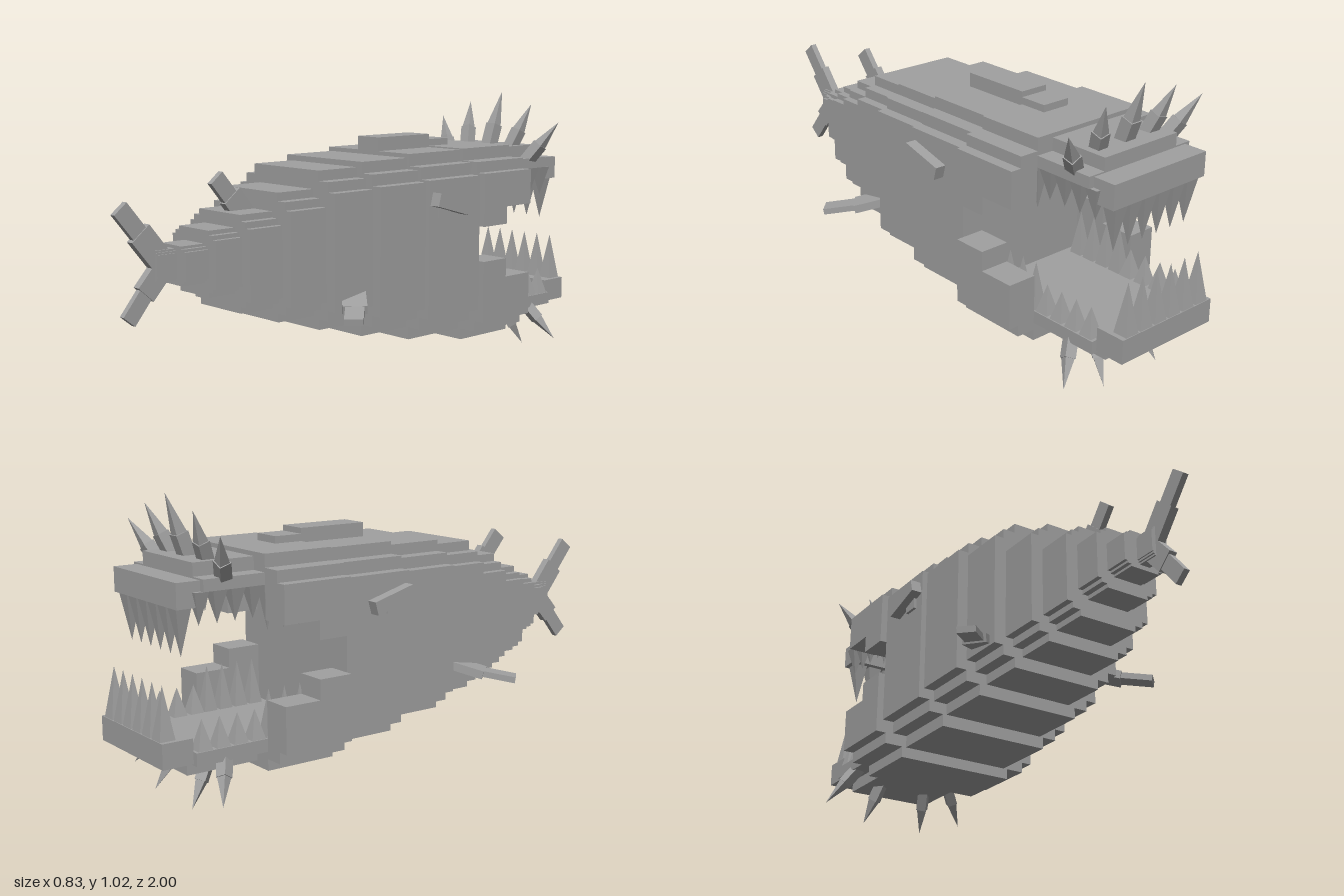
import * as THREE from 'three';

const grey = new THREE.MeshStandardMaterial({ color: 0xa0a0a0 });
grey.name = 'stone grey';

export function createModel() {
  const fish = new THREE.Group();
  fish.name = 'spikyFish';
  const UP = new THREE.Vector3(0, 1, 0);

  const add = (name, geo, parent = fish) => {
    const m = new THREE.Mesh(geo, grey);
    m.name = name;
    parent.add(m);
    return m;
  };
  // box given by its limits on each axis
  const box = (name, x0, x1, y0, y1, z0, z1) => {
    const m = add(name, new THREE.BoxGeometry(x1 - x0, y1 - y0, z1 - z0));
    m.position.set((x0 + x1) / 2, (y0 + y1) / 2, (z0 + z1) / 2);
    return m;
  };
  const pair = (name, x0, x1, ...rest) => {
    box(name, x0, x1, ...rest);
    box(name, -x1, -x0, ...rest);
  };
  // square pyramid: positive height points up, negative hangs down
  const tooth = (name, x, y, z, s, h) => {
    const g = new THREE.ConeGeometry(s * 0.707, Math.abs(h), 4).toNonIndexed();
    g.rotateY(Math.PI / 4);
    g.computeVertexNormals();
    const m = add(name, g);
    if (h < 0) m.rotation.x = Math.PI;
    m.position.set(x, y + h / 2, z);
  };
  // box running between two points: w across, t thick along the given side axis
  const beam = (name, a, b, w, t, side) => {
    const A = new THREE.Vector3(...a), B = new THREE.Vector3(...b);
    const y = B.clone().sub(A), len = y.length();
    y.normalize();
    const z = new THREE.Vector3(...side);
    z.addScaledVector(y, -z.dot(y)).normalize();
    const x = new THREE.Vector3().crossVectors(y, z);
    const m = add(name, new THREE.BoxGeometry(w, len, t));
    m.quaternion.setFromRotationMatrix(new THREE.Matrix4().makeBasis(x, y, z));
    m.position.copy(A).add(B).multiplyScalar(0.5);
  };
  // spike: square stub with a pyramid tip
  const spike = (name, a, b, s) => {
    const A = new THREE.Vector3(...a), d = new THREE.Vector3(...b).sub(A), len = d.length();
    const g = new THREE.Group();
    g.name = name;
    g.position.copy(A);
    g.quaternion.setFromUnitVectors(UP, d.normalize());
    add('spikeStub', new THREE.BoxGeometry(s, len * 0.45, s), g).position.y = len * 0.225;
    const c = new THREE.ConeGeometry(s * 0.6, len * 0.55, 4).toNonIndexed();
    c.rotateY(Math.PI / 4);
    c.computeVertexNormals();
    add('spikeTip', c, g).position.y = len * 0.725;
    fish.add(g);
  };

  // body slices with stepped corners: z start, z end, half width, bottom, top
  const slices = [
    [-0.365, -0.1, 0.315, 0.16, 0.835],
    [-0.1, 0.12, 0.295, 0.205, 0.82],
    [0.12, 0.295, 0.255, 0.25, 0.8],
    [0.295, 0.45, 0.21, 0.295, 0.735],
    [0.45, 0.585, 0.165, 0.34, 0.67],
    [0.585, 0.69, 0.12, 0.405, 0.625],
    [0.69, 0.78, 0.08, 0.45, 0.58],
    [0.78, 0.855, 0.03, 0.465, 0.57],
  ];
  for (const [z0, z1, w, y0, y1] of slices) {
    const h = (y1 - y0) / 2, c = (y0 + y1) / 2;
    const q = [[w, 0.74 * h], [0.86 * w, 0.74 * h], [0.86 * w, 0.87 * h], [0.68 * w, 0.87 * h], [0.68 * w, h]];
    const r = [...q].reverse();
    const pts = [
      ...q, ...r.map(([x, y]) => [-x, y]),
      ...q.map(([x, y]) => [-x, -y]), ...r.map(([x, y]) => [x, -y]),
    ].map(([x, y]) => new THREE.Vector2(x, c + y));
    const g = new THREE.ExtrudeGeometry(new THREE.Shape(pts), { depth: z1 - z0, bevelEnabled: false });
    add('bodySlice', g).position.z = z0;
  }
  box('backHump', -0.055, 0.055, 0.8, 0.885, -0.365, -0.1);
  box('backHumpFront', -0.055, 0.055, 0.8, 0.865, -0.47, -0.365);

  // head roof and floor
  box('headTop', -0.23, 0.23, 0.74, 0.84, -0.625, -0.365);
  box('headTopStep', -0.3, 0.3, 0.74, 0.795, -0.625, -0.365);
  box('headBottom', -0.23, 0.23, 0.12, 0.23, -0.625, -0.365);
  box('headBottomStep', -0.3, 0.3, 0.16, 0.23, -0.625, -0.365);
  // cheeks, stepped towards the corner of the mouth
  pair('upperCheekBack', 0.23, 0.34, 0.56, 0.755, -0.49, -0.365);
  pair('upperCheekFront', 0.23, 0.34, 0.625, 0.755, -0.625, -0.49);
  pair('lowerCheekBack', 0.23, 0.34, 0.2, 0.43, -0.49, -0.365);
  pair('lowerCheekFront', 0.23, 0.34, 0.2, 0.36, -0.625, -0.49);

  // jaws
  box('upperJawTop', -0.165, 0.165, 0.74, 0.825, -0.85, -0.625);
  box('upperJaw', -0.23, 0.23, 0.74, 0.78, -0.85, -0.625);
  box('upperLip', -0.21, 0.21, 0.69, 0.775, -0.935, -0.85);
  box('lowerJawBottom', -0.165, 0.165, 0.14, 0.19, -0.89, -0.625);
  box('lowerJaw', -0.23, 0.23, 0.185, 0.23, -0.89, -0.625);
  box('lowerLip', -0.21, 0.21, 0.19, 0.275, -1, -0.89);

  // teeth
  for (let i = 0; i < 6; i++) {
    const x = (i - 2.5) * 0.066;
    tooth('lowerFrontTooth', x, 0.275, -0.97, 0.055, 0.175);
    tooth('upperFrontTooth', x, 0.69, -0.9, 0.055, -0.16);
  }
  for (const s of [-1, 1]) {
    for (let i = 0; i < 4; i++) {
      const z = -0.655 - i * 0.066;
      tooth('lowerSideTooth', s * 0.2, 0.23, z, 0.052, 0.1);
      tooth('upperSideTooth', s * 0.2, 0.74, z, 0.052, -0.11);
      const zi = -0.6 + i * 0.062;
      tooth('lowerInnerTooth', s * 0.2, 0.23, zi, 0.05, 0.16);
      tooth('upperInnerTooth', s * 0.2, 0.74, zi, 0.05, -0.155);
    }
    // crown and chin spikes
    spike('crownSpike', [s * 0.11, 0.8, -0.765], [s * 0.16, 0.985, -0.84], 0.042);
    spike('crownSideSpike', [s * 0.2, 0.76, -0.76], [s * 0.305, 0.92, -0.83], 0.042);
    spike('chinSpike', [s * 0.095, 0.16, -0.77], [s * 0.127, 0.008, -0.855], 0.038);
    spike('chinSideSpike', [s * 0.2, 0.2, -0.77], [s * 0.3, 0.06, -0.84], 0.038);

    // eye under a slanted brow
    const brow = add('brow', new THREE.BoxGeometry(0.05, 0.048, 0.165));
    brow.position.set(s * 0.33, 0.66, -0.19);
    brow.rotation.x = -0.27;
    const eye = add('eye', new THREE.BoxGeometry(0.02, 0.05, 0.06));
    eye.position.set(s * 0.315, 0.635, -0.17);

    // side fin
    beam('sideFinRoot', [s * 0.21, 0.37, 0.17], [s * 0.31, 0.335, 0.255], 0.085, 0.03, [0, 1, 0]);
    beam('sideFinTip', [s * 0.28, 0.345, 0.225], [s * 0.39, 0.318, 0.335], 0.065, 0.022, [0, 1, 0]);
  }
  spike('middleCrownSpike', [0, 0.79, -0.765], [0, 1.03, -0.85], 0.046);

  // back fin and tail fins
  beam('backFinRoot', [0, 0.62, 0.46], [0, 0.72, 0.54], 0.08, 0.03, [1, 0, 0]);
  beam('backFinTip', [0, 0.7, 0.53], [0, 0.785, 0.6], 0.06, 0.022, [1, 0, 0]);
  beam('upperTailRoot', [0, 0.5, 0.8], [0, 0.63, 0.905], 0.085, 0.03, [1, 0, 0]);
  beam('upperTailTip', [0, 0.61, 0.89], [0, 0.715, 0.975], 0.06, 0.022, [1, 0, 0]);
  beam('lowerTailRoot', [0, 0.53, 0.8], [0, 0.43, 0.89], 0.075, 0.03, [1, 0, 0]);
  beam('lowerTailTip', [0, 0.44, 0.88], [0, 0.35, 0.953], 0.055, 0.022, [1, 0, 0]);

  return fish;
}
